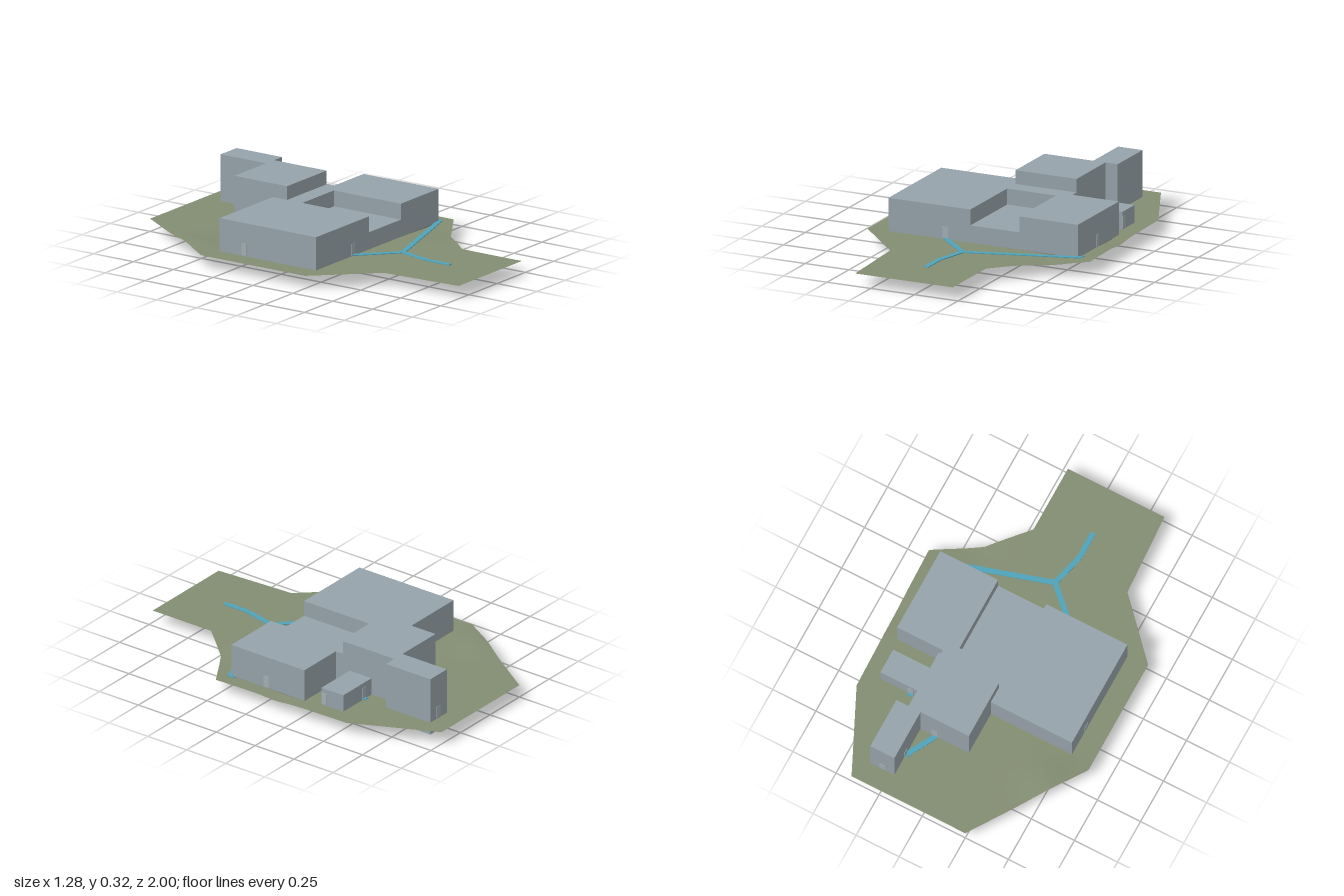
import * as THREE from 'three';

const mat = (name, color, side = THREE.FrontSide) => {
  const m = new THREE.MeshStandardMaterial({ color, side });
  m.name = name;
  return m;
};

export function createModel() {
  const group = new THREE.Group();
  const wall = mat('wall grey', 0x96a3aa);
  const doorMat = mat('door grey', 0xa3aeb4);
  const grass = mat('grass', 0x838d72, THREE.DoubleSide);
  const pathMat = mat('path blue', 0x4fa3ba);
  const plinthMat = mat('plinth brown', 0x8a776c);

  const add = (name, geo, material) => {
    const mesh = new THREE.Mesh(geo, material);
    mesh.name = name;
    group.add(mesh);
    return mesh;
  };
  // Box given by its limits on each axis
  const block = (name, x0, x1, y0, y1, z0, z1, material) =>
    add(name, new THREE.BoxGeometry(x1 - x0, y1 - y0, z1 - z0), material)
      .position.set((x0 + x1) / 2, (y0 + y1) / 2, (z0 + z1) / 2);
  // Plan outline of [x, z] points raised from y0 to y1
  const toVectors = (pts) => pts.map(([x, z]) => new THREE.Vector2(x, -z));
  const raise = (name, pts, y0, y1, material, hole) => {
    const shape = new THREE.Shape(toVectors(pts));
    if (hole) shape.holes.push(new THREE.Path(toVectors(hole)));
    const geo = new THREE.ExtrudeGeometry(shape, { depth: y1 - y0, bevelEnabled: false });
    geo.rotateX(-Math.PI / 2).translate(0, y0, 0);
    add(name, geo, material);
  };

  // Terrain: rows across between the left and right outlines, gently uneven
  const west = [[-1, -0.25], [-0.4, -0.645], [0.25, -0.645], [0.55, -0.365], [1, -0.34]];
  const east = [[-1, 0.41], [-0.55, 0.62], [0.275, 0.64], [0.425, 0.4], [0.625, 0.22], [1, 0.22]];
  const edgeAt = (line, z) => {
    let i = 1;
    while (i < line.length - 1 && line[i][0] < z) i++;
    const [za, xa] = line[i - 1], [zb, xb] = line[i];
    return xa + (xb - xa) * (z - za) / (zb - za);
  };
  const hill = (x, z, cx, cz, r) => Math.exp(-((x - cx) ** 2 + (z - cz) ** 2) / (r * r));
  const rows = 80, cols = 40;
  const ground = new THREE.PlaneGeometry(1, 1, cols, rows);
  const p = ground.attributes.position;
  for (let i = 0; i < p.count; i++) {
    const z = -1 + 2 * Math.floor(i / (cols + 1)) / rows;
    const a = edgeAt(west, z), b = edgeAt(east, z);
    const x = a + (b - a) * (i % (cols + 1)) / cols;
    const y = 0.068 + 0.016 * hill(x, z, -0.48, -0.56, 0.13)
      - 0.013 * hill(x, z, 0.45, 0.38, 0.13) - 0.008 * hill(x, z, 0.64, -0.1, 0.08);
    p.setXYZ(i, x, y, z);
  }
  ground.computeVertexNormals();
  add('terrain', ground, grass);

  // Main building: lower storey, and upper part open over the front terrace
  const back = [[0.555, -0.23], [0.29, -0.23], [0.29, -0.275], [-0.06, -0.275],
    [-0.06, -0.365], [-0.53, -0.365]];
  const outline = [[-0.53, 0.24], [0.555, 0.24], ...back];
  raise('mainLowerStorey', outline, 0.068, 0.16, wall);
  raise('mainUpperStorey', [[-0.53, 0.24], [-0.06, 0.24], [-0.06, -0.18], [0.22, -0.18],
    [0.22, 0.24], [0.555, 0.24], ...back], 0.16, 0.245, wall);

  // Plinth ring with the floor set inside it
  const inset = [[-0.52, 0.23], [0.545, 0.23], [0.545, -0.22], [0.28, -0.22], [0.28, -0.265],
    [-0.07, -0.265], [-0.07, -0.355], [-0.52, -0.355]];
  raise('plinth', outline, 0.057, 0.068, plinthMat, inset);
  raise('mainFloor', inset, 0.06, 0.068, wall);

  // Tall rear volumes reaching below ground, and the low side annex
  block('rearHall', -0.06, 0.29, 0, 0.318, -0.605, -0.275, wall);
  block('rearTower', 0.22, 0.36, 0, 0.318, -0.89, -0.605, wall);
  block('sideAnnex', 0.29, 0.53, 0.06, 0.162, -0.46, -0.32, wall);

  // Doors as thin plates: the axis is the one the door faces along
  const door = (x, z, axis) => {
    const w = axis === 'x' ? 0.002 : 0.016, d = axis === 'x' ? 0.016 : 0.002;
    block('door', x - w, x + w, 0.072, 0.135, z - d, z + d, doorMat);
  };
  door(-0.203, 0.24, 'z');
  door(0.555, 0.016, 'x');
  door(0.53, -0.338, 'x');
  door(-0.53, -0.21, 'x');
  door(0.29, -0.89, 'z');
  door(0.22, -0.77, 'x');
  door(0.14, -0.605, 'z');
  door(0.355, -0.46, 'z');

  // Flat paths along polylines of [x, z] points
  const paths = [
    [[-0.203, 0.24], [-0.015, 0.42], [-0.06, 0.6], [-0.06, 0.75]],
    [[-0.015, 0.42], [0.57, 0.24], [0.57, 0.21]],
    [[0.22, -0.77], [0.13, -0.605]],
    [[0.338, -0.467], [0.372, -0.467]],
  ];
  for (const pts of paths) {
    for (let i = 1; i < pts.length; i++) {
      const [xa, za] = pts[i - 1], [xb, zb] = pts[i];
      const len = Math.hypot(xb - xa, zb - za);
      const seg = add('path', new THREE.BoxGeometry(len, 0.004, i > 0 && len < 0.04 ? 0.016 : 0.028), pathMat);
      seg.position.set((xa + xb) / 2, 0.073, (za + zb) / 2);
      seg.rotation.y = -Math.atan2(zb - za, xb - xa);
    }
  }
  return group;
}
